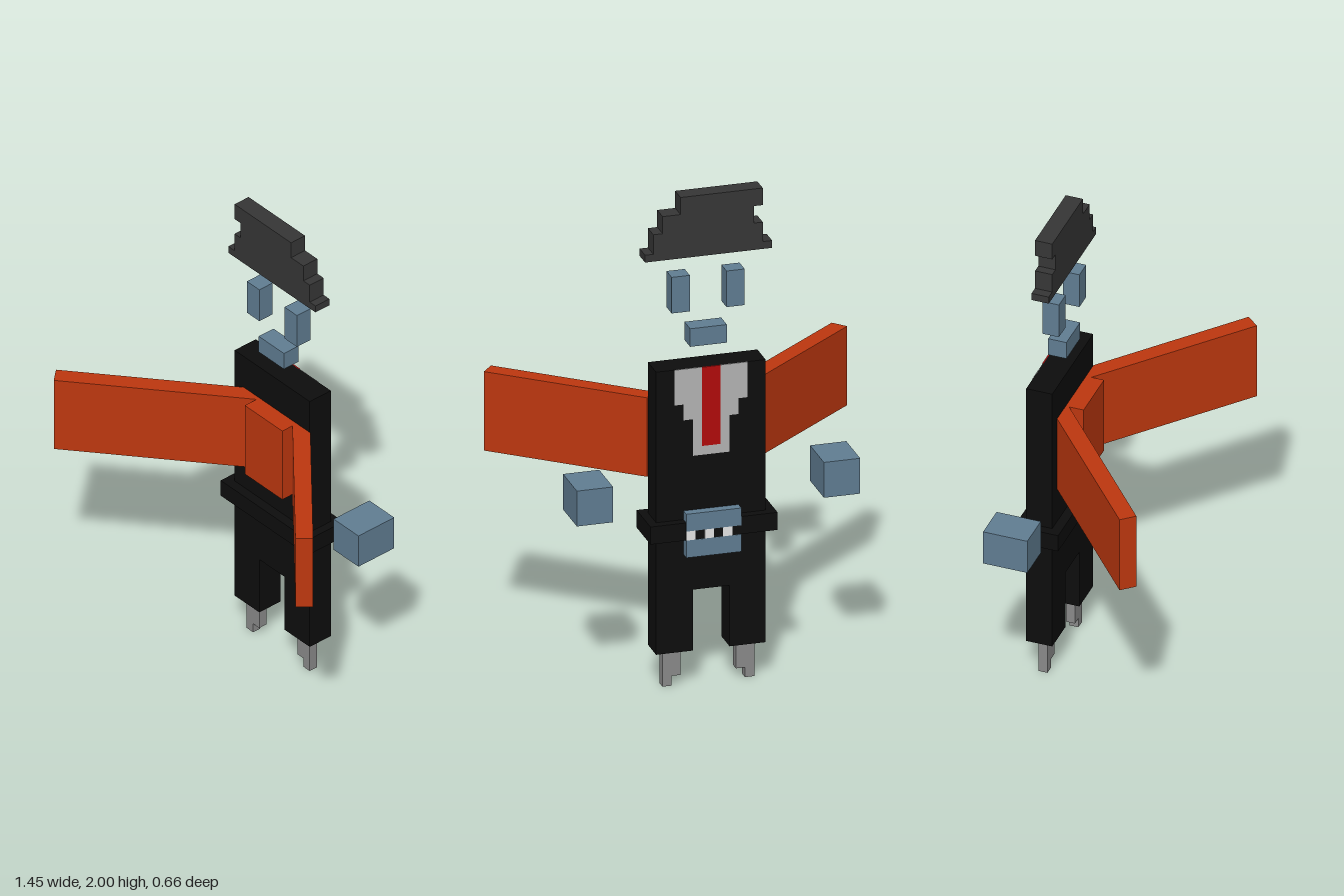
import * as THREE from 'three';

const mat = (name, color) => {
  const m = new THREE.MeshStandardMaterial({ color });
  m.name = name;
  return m;
};

export function createModel() {
  const root = new THREE.Group();
  const charcoal = mat('charcoal', 0x363636);
  const black = mat('black', 0x0d0d0d);
  const blue = mat('slate blue', 0x607d92);
  const orange = mat('burnt orange', 0xbd370f);
  const grey = mat('grey', 0x8a8a8a);
  const paleGrey = mat('pale grey', 0xb4b4b4);
  const red = mat('red', 0xb20a0a);
  const white = mat('white', 0xe6e6e6);

  const add = (name, geo, material) => {
    const mesh = new THREE.Mesh(geo, material);
    mesh.name = name;
    root.add(mesh);
    return mesh;
  };
  // box from its low and high corners
  const box = (name, material, [x0, x1], [y0, y1], [z0, z1]) => {
    const geo = new THREE.BoxGeometry(x1 - x0, y1 - y0, z1 - z0);
    geo.translate((x0 + x1) / 2, (y0 + y1) / 2, (z0 + z1) / 2);
    return add(name, geo, material);
  };
  const extrude = (pts, depth) => new THREE.ExtrudeGeometry(
    new THREE.Shape(pts.map(([x, y]) => new THREE.Vector2(x, y))),
    { depth, bevelEnabled: false });
  // front outline (x, y) extended from z0 to z1
  const slab = (name, material, pts, z0, z1) =>
    add(name, extrude(pts, z1 - z0).translate(0, 0, z0), material);
  // plan outline (x, z) extended from y0 to y1
  const plan = (name, material, pts, y0, y1) =>
    add(name, extrude(pts.map(([x, z]) => [x, -z]), y1 - y0).rotateX(-Math.PI / 2).translate(0, y0, 0), material);

  // stepped hat
  slab('hat', charcoal, [
    [-0.267, 1.75], [0.238, 1.75], [0.238, 1.78], [0.205, 1.78], [0.205, 1.86], [0.168, 1.86],
    [0.168, 1.93], [0.097, 1.93], [0.097, 2], [-0.23, 2], [-0.23, 1.93], [-0.195, 1.93],
    [-0.195, 1.86], [-0.23, 1.86], [-0.23, 1.78], [-0.267, 1.78]], -0.26, -0.19);

  // floating face
  for (const [name, x] of [['rightEye', -0.159], ['leftEye', 0.059]])
    box(name, blue, [x, x + 0.072], [1.527, 1.675], [-0.257, -0.19]);
  box('mouth', blue, [-0.087, 0.059], [1.383, 1.457], [-0.261, -0.187]);

  // torso and legs in one slab
  slab('body', black, [
    [-0.23, 0.15], [-0.087, 0.15], [-0.087, 0.4], [0.059, 0.4], [0.059, 0.15],
    [0.205, 0.15], [0.205, 1.31], [-0.23, 1.31]], -0.296, -0.19);
  box('belt', black, [-0.267, 0.238], [0.62, 0.692], [-0.331, -0.152]);

  // feet with a single lower toe on the outer side
  slab('rightFoot', grey, [
    [-0.197, 0], [-0.16, 0], [-0.16, 0.04], [-0.124, 0.04], [-0.124, 0.15], [-0.197, 0.15]], -0.258, -0.222);
  slab('leftFoot', grey, [
    [0.132, 0], [0.168, 0], [0.168, 0.15], [0.096, 0.15], [0.096, 0.04], [0.132, 0.04]], -0.258, -0.222);

  // floating hands
  for (const [name, x] of [['rightHand', -0.595], ['leftHand', 0.387]])
    box(name, blue, [x, x + 0.144], [0.73, 0.875], [-0.332, -0.152]);

  // folded board across the front
  box('boardCentre', orange, [-0.087, 0.13], [0.84, 1.164], [-0.19, -0.117]);
  plan('boardRightWing', orange, [[-0.73, 0.275], [-0.684, 0.326], [-0.07, -0.19], [-0.178, -0.19]], 0.84, 1.164);
  plan('boardLeftWing', orange, [[0.724, 0.244], [0.68, 0.295], [0.104, -0.19], [0.209, -0.19]], 0.84, 1.164);

  // buckle bars with a row of teeth between them, on the back
  box('buckleTop', blue, [-0.123, 0.096], [0.657, 0.728], [-0.333, -0.29]);
  box('buckleBottom', blue, [-0.123, 0.096], [0.549, 0.62], [-0.333, -0.29]);
  for (let i = 0; i < 3; i++) {
    const x = 0.096 - i * 0.073;
    box('buckleTooth', white, [x - 0.0365, x], [0.62, 0.657], [-0.333, -0.329]);
  }

  // stepped shirt front and tie, painted on the back
  slab('shirt', paleGrey, [
    [-0.158, 1.31], [-0.158, 1.165], [-0.122, 1.165], [-0.122, 1.1], [-0.087, 1.1], [-0.087, 0.95],
    [0.059, 0.95], [0.059, 1.1], [0.096, 1.1], [0.096, 1.165], [0.132, 1.165], [0.132, 1.31]], -0.298, -0.295);
  box('tie', red, [-0.05, 0.023], [0.987, 1.31], [-0.3, -0.295]);

  return root;
}
